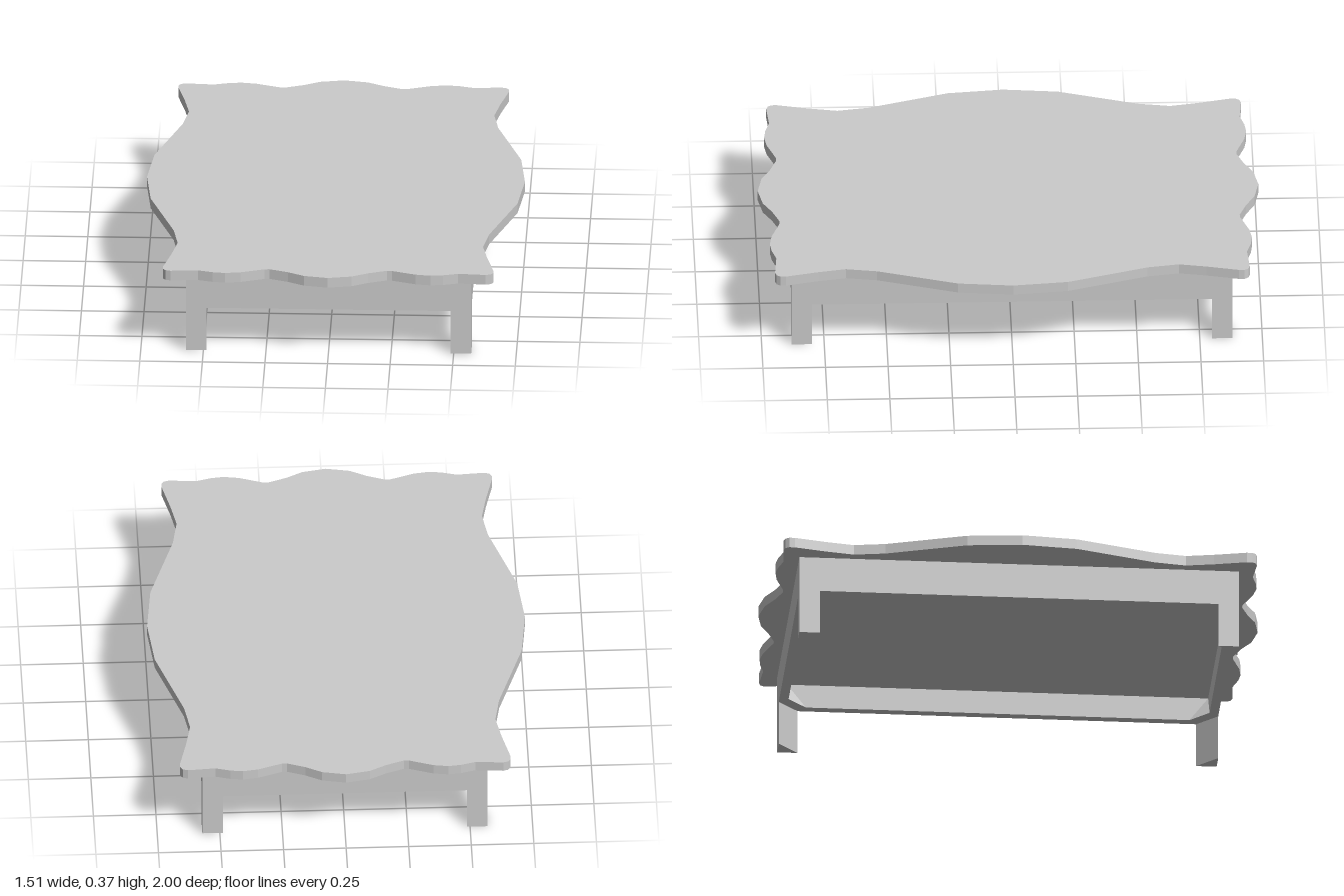
import * as THREE from 'three';

const material = new THREE.MeshStandardMaterial({ color: 0xcccccc, flatShading: true });
const W = 0.57, D = 0.88;            // half size of the base
const LEG = 0.184, PANEL = 0.282, TOP = 0.33, THICK = 0.042;

// One quarter of the scalloped outline, from the side middle to the end middle
const quarter = [
  [0.755, 0], [0.733, 0.22], [0.63, 0.54], [0.61, 0.665], [0.63, 0.775],
  [0.66, 0.905], [0.66, 0.927], [0.65, 0.942], [0.63, 0.948], [0.52, 0.94],
  [0.46, 0.957], [0.41, 0.963], [0.35, 0.954], [0.254, 0.92], [0.234, 0.919],
  [0.16, 0.947], [0.095, 0.982], [0, 1],
];

// Extrudes a ground-plan polygon of [x, z] points upward from y
function slab(name, points, y, height) {
  const shape = new THREE.Shape(points.map(([x, z]) => new THREE.Vector2(x, -z)));
  const geometry = new THREE.ExtrudeGeometry(shape, { depth: height, bevelEnabled: false });
  geometry.rotateX(-Math.PI / 2);
  const mesh = new THREE.Mesh(geometry, material);
  mesh.name = name;
  mesh.position.y = y;
  return mesh;
}

function tabletop() {
  const half = [...quarter, ...quarter.slice(1, -1).reverse().map(([x, z]) => [-x, z])];
  const outline = [...half, ...half.map(([x, z]) => [-x, -z])];
  return slab('tabletop', outline, TOP, THICK);
}

// Rectangle inset by b, each corner a pair of points a apart from it, so it can be cut diagonally
function loop(a, b, y) {
  return [[1, 1], [-1, 1], [-1, -1], [1, -1]].flatMap(([sx, sz]) => {
    const pair = [[sx * (W - a), y, sz * (D - b)], [sx * (W - b), y, sz * (D - a)]];
    return sx * sz > 0 ? pair.reverse() : pair;
  });
}

// Apron: upright outside, flat underside rim, and a shallow recess closed by a panel
function apron() {
  const rim = 0.037;
  const loops = [
    loop(0, 0, TOP), loop(0, 0, LEG), loop(0.112, rim, LEG), loop(rim, rim, PANEL),
    Array(8).fill([0, PANEL, 0]),
  ];
  const position = [];
  const corner = () => new THREE.Vector3();
  const triangle = new THREE.Triangle(corner(), corner(), corner());
  for (let k = 0; k < loops.length - 1; k++) {
    for (let i = 0; i < 8; i++) {
      const j = (i + 1) % 8;
      const a = loops[k][i], b = loops[k][j], c = loops[k + 1][j], d = loops[k + 1][i];
      for (const [p, q, r] of [[a, b, c], [a, c, d]]) {
        triangle.a.fromArray(p);
        triangle.b.fromArray(q);
        triangle.c.fromArray(r);
        if (triangle.getArea() > 1e-8) position.push(...p, ...q, ...r);
      }
    }
  }
  const geometry = new THREE.BufferGeometry();
  geometry.setAttribute('position', new THREE.Float32BufferAttribute(position, 3));
  geometry.computeVertexNormals();
  const mesh = new THREE.Mesh(geometry, material);
  mesh.name = 'apron';
  return mesh;
}

export function createModel() {
  const group = new THREE.Group();
  group.name = 'coffeeTable';
  group.add(tabletop(), apron());

  // Triangular corner legs with a diagonal inner face
  for (const sx of [1, -1]) {
    for (const sz of [1, -1]) {
      const name = (sz > 0 ? 'front' : 'back') + (sx > 0 ? 'Left' : 'Right') + 'Leg';
      const x = sx * W, z = sz * D, s = 0.082;
      group.add(slab(name, [[x, z], [x - sx * s, z], [x, z - sz * s]], 0, LEG));
    }
  }
  return group;
}
